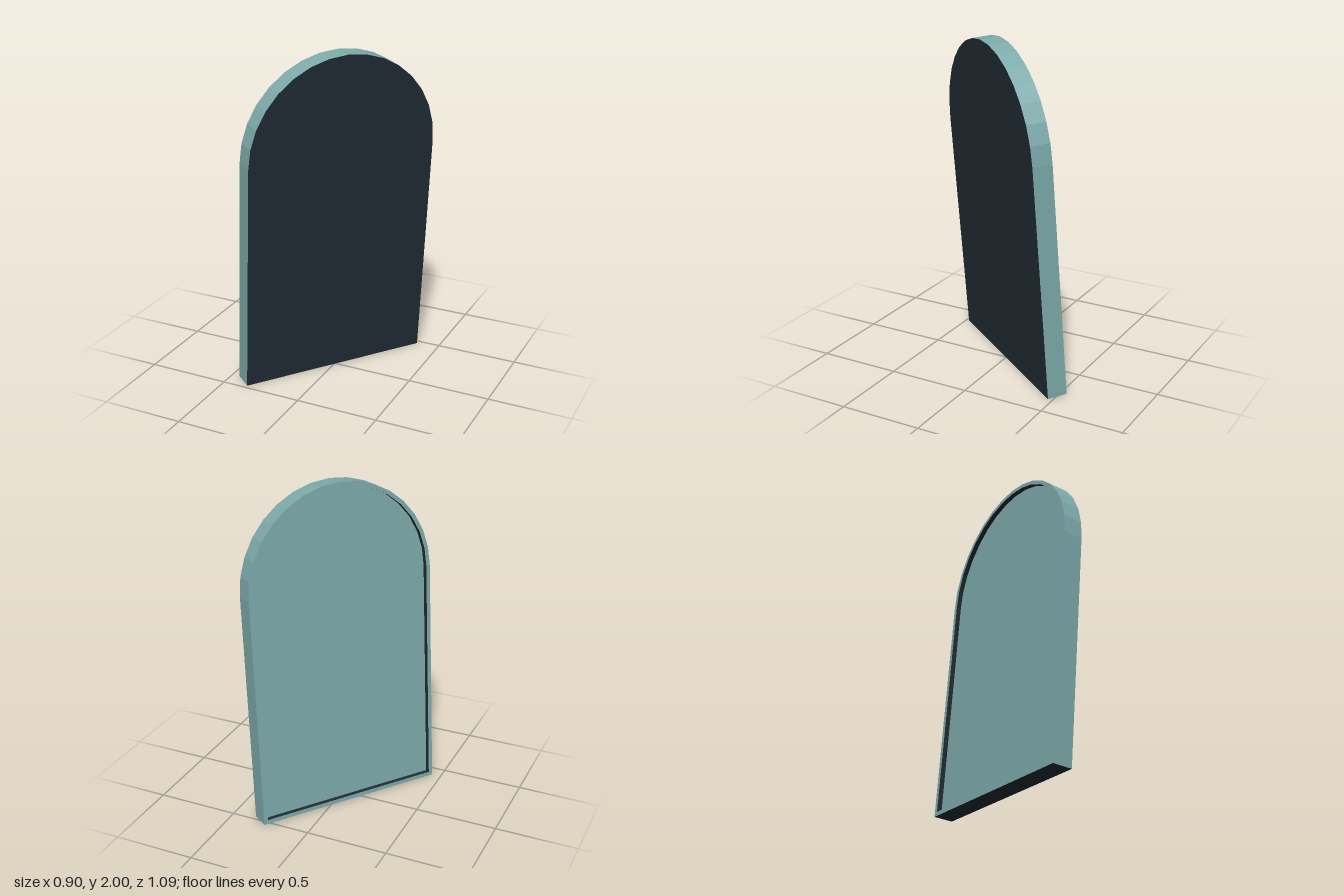
import * as THREE from 'three';

const HALF = 0.594, STRAIGHT = 1.403, DEPTH = 0.12, RIM = 0.025, RECESS = 0.03, SEGMENTS = 16;

// Arched outline, counter-clockwise from the lower right corner to the lower left
function archPoints(inset) {
  const r = HALF - inset;
  const pts = [new THREE.Vector2(r, inset)];
  for (let i = 0; i <= SEGMENTS; i++) {
    const a = (i / SEGMENTS) * Math.PI;
    pts.push(new THREE.Vector2(r * Math.cos(a), STRAIGHT + r * Math.sin(a)));
  }
  pts.push(new THREE.Vector2(-r, inset));
  return pts;
}

// Flat-faceted wall along a line of points, from zBack to zFront
function wall(pts, zBack, zFront) {
  const pos = [];
  for (let i = 0; i < pts.length - 1; i++) {
    const a = pts[i], b = pts[i + 1];
    pos.push(a.x, a.y, zBack, b.x, b.y, zBack, b.x, b.y, zFront);
    pos.push(a.x, a.y, zBack, b.x, b.y, zFront, a.x, a.y, zFront);
  }
  const g = new THREE.BufferGeometry();
  g.setAttribute('position', new THREE.Float32BufferAttribute(pos, 3));
  g.computeVertexNormals();
  return g;
}

export function createModel() {
  const teal = new THREE.MeshStandardMaterial({ name: 'dusty teal', color: 0x7dabab });
  const dark = new THREE.MeshStandardMaterial({ name: 'dark slate', color: 0x222c35 });
  const slab = new THREE.Group();
  slab.name = 'archedSlab';

  const add = (name, geometry, material) => {
    const mesh = new THREE.Mesh(geometry, material);
    mesh.name = name;
    slab.add(mesh);
  };
  const backFace = (shape, z) => new THREE.ShapeGeometry(shape).rotateY(Math.PI).translate(0, 0, z);

  const outer = archPoints(0);
  const inner = archPoints(RIM);

  // Dark front and underside, teal edge
  add('frontFace', new THREE.ShapeGeometry(new THREE.Shape(outer)), dark);
  add('outerEdge', wall(outer, -DEPTH, 0), teal);
  add('underside', wall([outer[outer.length - 1], outer[0]], -DEPTH, 0), dark);

  // Back: narrow rim around a recessed panel
  const rim = new THREE.Shape(outer);
  rim.holes.push(new THREE.Path(inner));
  add('backRim', backFace(rim, -DEPTH), teal);
  add('recessWall', wall([...inner, inner[0]].reverse(), -DEPTH, -DEPTH + RECESS), dark);
  add('backPanel', backFace(new THREE.Shape(inner), -DEPTH + RECESS), teal);

  // Turned towards the front left and leaning slightly forward
  slab.rotation.set(THREE.MathUtils.degToRad(4.5), THREE.MathUtils.degToRad(53.2), 0, 'YXZ');
  slab.position.set(0.004, 0, 0.003);

  const model = new THREE.Group();
  model.name = 'leaningArch';
  model.add(slab);
  return model;
}
